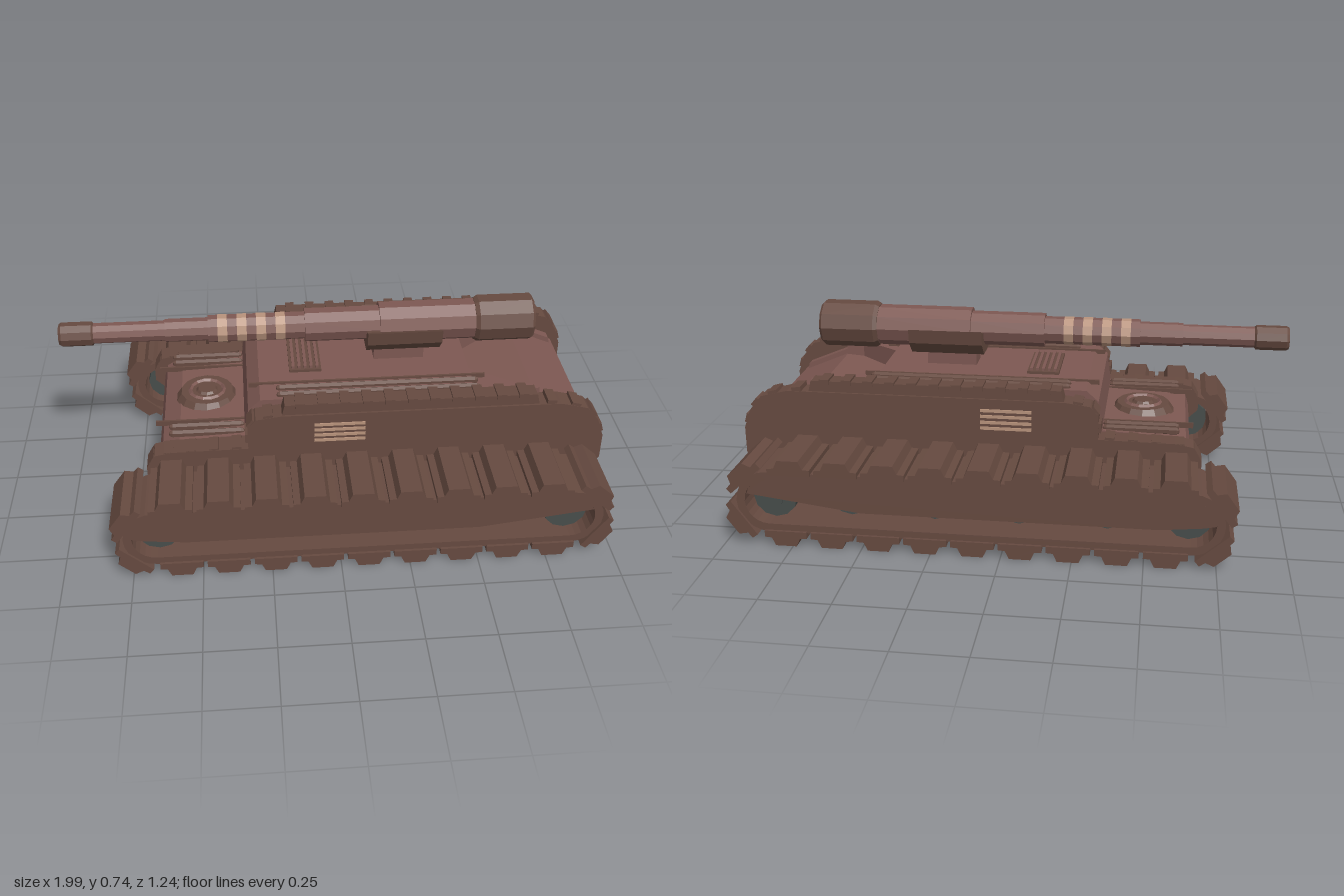
import * as THREE from 'three';

const paint = (color) => new THREE.MeshStandardMaterial({ color, flatShading: true, side: THREE.DoubleSide });
const brown = paint(0x664a40), red = paint(0x7d5852), grey = paint(0x474d4b), tan = paint(0xb8937c);

export function createModel() {
  const model = new THREE.Group();

  const add = (name, geometry, material, x = 0, y = 0, z = 0, parent = model) => {
    const mesh = new THREE.Mesh(geometry, material);
    mesh.name = name;
    mesh.position.set(x, y, z);
    parent.add(mesh);
    return mesh;
  };
  const box = (name, material, x0, x1, y0, y1, z0, z1) =>
    add(name, new THREE.BoxGeometry(x1 - x0, y1 - y0, Math.abs(z1 - z0)), material,
      (x0 + x1) / 2, (y0 + y1) / 2, (z0 + z1) / 2);
  const outline = (pts) => new THREE.Shape(pts.map(([x, y]) => new THREE.Vector2(x, y)));
  const extrude = (shape, depth) =>
    new THREE.ExtrudeGeometry(shape, { depth, bevelEnabled: false, curveSegments: 6 });
  // side profile (x, y) spanning z0..z1
  const slab = (name, pts, z0, z1, material) =>
    add(name, extrude(outline(pts), Math.abs(z1 - z0)), material, 0, 0, Math.min(z0, z1));
  // cylinder along x
  const rod = (name, x0, x1, r, material, y = 0.657, z = 0, sides = 10) =>
    add(name, new THREE.CylinderGeometry(r, r, x1 - x0, sides).rotateZ(Math.PI / 2), material, (x0 + x1) / 2, y, z);

  // Hull with stepped front deck and sunken rear deck
  slab('hull', [[-0.65, 0.27], [-0.635, 0.32], [-0.57, 0.36], [-0.33, 0.37], [-0.315, 0.48], [-0.27, 0.52],
    [0.52, 0.52], [0.52, 0.43], [0.76, 0.45], [0.95, 0.37], [0.95, 0.205], [0.8, 0.085], [-0.5, 0.085]],
  -0.29, 0.29, red);
  for (const s of [-1, 1]) {
    const cheek = outline([[0.52, s * 0.12], [0.69, s * 0.24], [0.76, s * 0.24], [0.76, s * 0.275], [0.52, s * 0.275]]);
    add('rearDeckCheek', extrude(cheek, 0.12).rotateX(-Math.PI / 2), red, 0, 0.39, 0);
    slab('rearDeckEdge', [[0.52, 0.4], [0.52, 0.48], [0.76, 0.47], [0.93, 0.4], [0.94, 0.36]], s * 0.25, s * 0.29, red);
  }

  // Hatch on the front deck
  add('hatch', new THREE.CylinderGeometry(0.1, 0.12, 0.03, 14), brown, -0.47, 0.37, 0);
  add('hatchRing', new THREE.TorusGeometry(0.065, 0.008, 4, 14).rotateX(Math.PI / 2), red, -0.47, 0.385, 0);
  add('hatchCap', new THREE.CylinderGeometry(0.035, 0.045, 0.012, 10), brown, -0.47, 0.388, 0);

  // Deck grille
  box('grilleFrame', brown, -0.155, -0.035, 0.515, 0.53, -0.125, 0.115);
  for (let i = 0; i < 5; i++) {
    const x = -0.145 + i * 0.0225;
    box('grilleSlat', red, x, x + 0.011, 0.53, 0.54, -0.115, 0.105);
  }

  // Deck pipes and thin rails
  for (const s of [-1, 1]) {
    for (const z of [0.22, 0.263]) {
      for (const [x0, x1, y] of [[-0.61, -0.33, 0.37], [-0.21, 0.54, 0.522]]) {
        const pipe = new THREE.CapsuleGeometry(0.014, x1 - x0 - 0.028, 2, 6).rotateZ(Math.PI / 2);
        add('deckPipe', pipe, brown, (x0 + x1) / 2, y, s * z);
      }
    }
    box('frontDeckRail', brown, -0.66, -0.31, 0.355, 0.375, s * 0.181, s * 0.189);
    box('topDeckRail', brown, -0.31, 0.57, 0.51, 0.527, s * 0.181, s * 0.189);
  }

  // Side plates with a ribbed crest and slotted vents
  const plate = [[-0.69, 0.25], [-0.69, 0.3], [-0.66, 0.35], [-0.6, 0.362], [-0.32, 0.365], [-0.32, 0.455],
    [-0.29, 0.488], [-0.2, 0.5], [0.82, 0.5], [0.92, 0.475], [0.965, 0.42], [0.99, 0.35], [0.99, 0.25],
    [0.8, 0.065], [-0.5, 0.065]];
  const ribLine = [[-0.68, 0.3], [-0.65, 0.35], [-0.32, 0.365], [-0.32, 0.45], [-0.29, 0.488], [-0.2, 0.5]];
  const rearRibLine = [[0.74, 0.51], [0.83, 0.5], [0.92, 0.475], [0.965, 0.42], [0.985, 0.35]];
  const ribs = (pts, step, s) => {
    for (let i = 0; i + 1 < pts.length; i++) {
      const [ax, ay] = pts[i], [bx, by] = pts[i + 1];
      const n = Math.max(1, Math.round(Math.hypot(bx - ax, by - ay) / step));
      for (let k = 0; k < n; k++) {
        const t = (k + 0.5) / n;
        const rib = add('plateRib', new THREE.BoxGeometry(0.035, 0.02, 0.076), brown,
          ax + (bx - ax) * t, ay + (by - ay) * t, s * 0.33);
        rib.rotation.z = Math.atan2(by - ay, bx - ax);
      }
    }
  };
  for (const s of [-1, 1]) {
    slab('sidePlate', plate, s * 0.29, s * 0.37, brown);
    slab('plateCrest', [[-0.2, 0.48], [-0.185, 0.54], [0.73, 0.54], [0.745, 0.48]], s * 0.298, s * 0.362, brown);
    ribs(ribLine, 0.08, s);
    ribs([[-0.17, 0.538], [0.72, 0.538]], 0.08, s);
    ribs(rearRibLine, 0.08, s);
    for (let i = 0; i < 4; i++) {
      box('ventSlot', tan, -0.08, 0.105, 0.385 + i * 0.0225, 0.396 + i * 0.0225, s * 0.368, s * 0.374);
    }
  }

  // Tracks: oval band, tread pads, wheels and skirt
  const xa = -0.66, xb = 0.835, yc = 0.165, R = 0.115;
  const oval = (r, Type) => {
    const p = new Type();
    p.moveTo(xa, yc - r);
    p.lineTo(xb, yc - r);
    p.absarc(xb, yc, r, -Math.PI / 2, Math.PI / 2, false);
    p.lineTo(xa, yc + r);
    p.absarc(xa, yc, r, Math.PI / 2, Math.PI * 1.5, false);
    return p;
  };
  const band = oval(R, THREE.Shape);
  band.holes.push(oval(R - 0.03, THREE.Path));
  const bandGeometry = extrude(band, 0.23);
  const padGeometry = extrude(outline([[-0.077, -0.006], [-0.077, 0.018], [-0.052, 0.02], [-0.038, 0.05],
    [0.038, 0.05], [0.052, 0.02], [0.077, 0.018], [0.077, -0.006]]), 0.25);
  const straight = xb - xa, arc = Math.PI * R, total = 2 * (straight + arc), padCount = 22;
  // position and angle at distance d, starting at the front of the top run
  const along = (d) => {
    d = ((d % total) + total) % total;
    if (d < straight) return [xa + d, yc + R, 0];
    d -= straight;
    if (d < arc) return [xb + R * Math.sin(d / R), yc + R * Math.cos(d / R), -d / R];
    d -= arc;
    if (d < straight) return [xb - d, yc - R, Math.PI];
    const a = (d - straight) / R;
    return [xa - R * Math.sin(a), yc - R * Math.cos(a), Math.PI - a];
  };
  for (const s of [-1, 1]) {
    const track = new THREE.Group();
    track.name = s > 0 ? 'leftTrack' : 'rightTrack';
    model.add(track);
    add('trackBand', bandGeometry, brown, 0, 0, s * 0.495 - 0.115, track);
    for (let i = 0; i < padCount; i++) {
      const [x, y, angle] = along(0.06 + (i * total) / padCount);
      add('treadPad', padGeometry, brown, x, y, s * 0.495 - 0.125, track).rotation.z = angle;
    }
    [-0.65, -0.37, -0.06, 0.24, 0.54, 0.82].forEach((x, i) => {
      const end = i === 0 || i === 5;
      const wheel = new THREE.CylinderGeometry(0.08, 0.08, 0.17, 12).rotateX(Math.PI / 2);
      add('roadWheel', wheel, grey, x, end ? 0.172 : 0.195, s * 0.485, track);
      add('wheelHub', new THREE.CylinderGeometry(0.03, 0.035, 0.19, 8).rotateX(Math.PI / 2), grey,
        x, end ? 0.172 : 0.195, s * 0.485, track);
    });
    slab('wheelBeam', [[-0.56, 0.08], [0.8, 0.08], [0.86, 0.15], [0.84, 0.22], [-0.6, 0.22], [-0.6, 0.14]],
      s * 0.37, s * 0.42, red);
    slab('trackSkirt', [[-0.75, 0.16], [-0.7, 0.15], [-0.55, 0.135], [0.5, 0.135], [0.92, 0.19], [0.9, 0.235],
      [0.84, 0.255], [-0.66, 0.255], [-0.73, 0.22]], s * 0.575, s * 0.6, brown);
  }

  // Gun pedestal and cradle
  box('gunPedestal', red, 0.17, 0.36, 0.5, 0.6, -0.045, 0.045);
  const cradle = outline([[-0.11, 0.67], [-0.1, 0.615], [-0.05, 0.565], [0.05, 0.565], [0.1, 0.615], [0.11, 0.67],
    [0.075, 0.655], [-0.075, 0.655]]);
  add('gunCradle', extrude(cradle, 0.28).rotateY(Math.PI / 2), brown, 0.14, 0, 0);

  // Gun barrel sections
  const muzzle = [[0.026, 0.1], [0.026, 0], [0.04, 0], [0.046, 0.01], [0.046, 0.12], [0.036, 0.13]]
    .map(([r, h]) => new THREE.Vector2(r, h));
  add('muzzle', new THREE.LatheGeometry(muzzle, 10).rotateZ(-Math.PI / 2), brown, -1, 0.657, 0);
  rod('barrelTip', -0.9, -0.61, 0.039, red);
  rod('barrelFront', -0.61, -0.45, 0.044, red);
  rod('barrelMiddle', -0.45, -0.09, 0.052, red);
  for (let i = 0; i < 4; i++) rod('barrelStripe', -0.415 + i * 0.072, -0.379 + i * 0.072, 0.0535, tan);
  rod('barrelSleeve', -0.09, 0.19, 0.064, red);
  rod('barrelRear', 0.19, 0.56, 0.077, red);
  const breech = [[0, 0], [0.08, 0], [0.089, 0.015], [0.089, 0.215], [0.08, 0.225], [0, 0.225]]
    .map(([r, h]) => new THREE.Vector2(r, h));
  add('breech', new THREE.LatheGeometry(breech, 10).rotateZ(-Math.PI / 2), brown, 0.55, 0.657, 0);

  return model;
}
